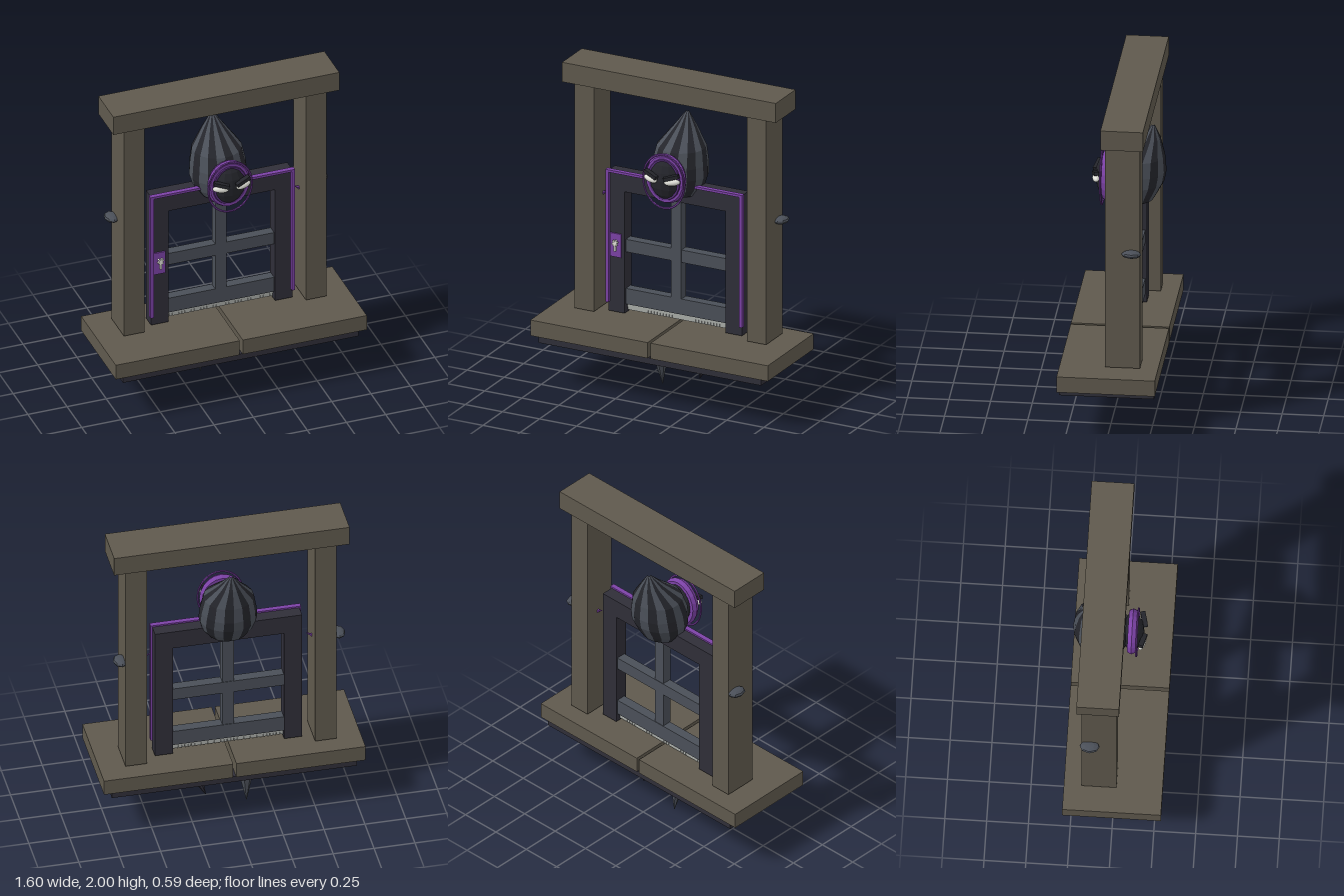
import * as THREE from 'three';

const mat = (name, color, extra = {}) =>
  Object.assign(new THREE.MeshStandardMaterial({ color, ...extra }), { name });

export function createModel() {
  const root = new THREE.Group();
  root.name = 'gateway';
  const stone = mat('stone', 0x5f594d);
  const dark = mat('darkWood', 0x2f2e38, { flatShading: true });
  const slate = mat('slate', 0x4a4f58, { flatShading: true });
  const black = mat('maskBlack', 0x24252b, { flatShading: true });
  const purple = mat('purple', 0x7c42a6, { flatShading: true });
  const deepPurple = mat('deepPurple', 0x57307a, { flatShading: true });
  const pale = mat('pale', 0xe4e4dc);
  const grey = mat('lightGrey', 0xa9aca8);

  const add = (name, geo, material, x = 0, y = 0, z = 0, parent = root) => {
    const m = new THREE.Mesh(geo, material);
    m.name = name;
    m.position.set(x, y, z);
    parent.add(m);
    return m;
  };
  // Box given by its limits on each axis
  const box = (name, material, x0, x1, y0, y1, z0, z1) =>
    add(name, new THREE.BoxGeometry(x1 - x0, y1 - y0, z1 - z0), material,
      (x0 + x1) / 2, (y0 + y1) / 2, (z0 + z1) / 2);
  // Faceted skin over rings [cx, y, cz, rx, rz], top to bottom, one group per column
  const loft = (rings, sides, materials = 1) => {
    const pos = [];
    const geo = new THREE.BufferGeometry();
    const p = (j, i) => {
      const [cx, y, cz, rx, rz] = rings[j];
      const a = (i / sides) * Math.PI * 2;
      return [cx + rx * Math.sin(a), y, cz + rz * Math.cos(a)];
    };
    for (let i = 0; i < sides; i++) {
      const start = pos.length / 3;
      for (let j = 0; j < rings.length - 1; j++) {
        const a = p(j, i), b = p(j + 1, i), c = p(j + 1, i + 1), d = p(j, i + 1);
        pos.push(...a, ...b, ...c, ...a, ...c, ...d);
      }
      if (materials > 1) geo.addGroup(start, pos.length / 3 - start, i % materials);
    }
    geo.setAttribute('position', new THREE.Float32BufferAttribute(pos, 3));
    geo.computeVertexNormals();
    return geo;
  };

  // Stone base, posts and lintel
  box('underSlab', dark, -0.75, 0.75, 0.28, 0.32, -0.285, 0.285);
  box('lintel', stone, -0.72, 0.72, 1.875, 2, -0.215, 0.04);
  for (const s of [-1, 1]) {
    const side = s < 0 ? 'right' : 'left';
    const span = (a, b) => (s < 0 ? [-b, -a] : [a, b]);
    box(side + 'BaseSlab', stone, ...span(0.01, 0.8), 0.32, 0.42, -0.295, 0.295);
    box(side + 'Post', stone, ...span(0.515, 0.645), 0.43, 1.875, -0.19, 0.02);

    // Door stile with raised edge trim
    box(side + 'Stile', dark, ...span(0.34, 0.45), 0.43, 1.33, -0.125, -0.04);
    box(side + 'Trim', purple, ...span(0.44, 0.46), 0.49, 1.34, -0.05, -0.02);

    // Rounded peg outside the post, hooked spur inside
    const peg = add(side + 'Peg', new THREE.SphereGeometry(1, 8, 6), slate, s * 0.665, 1.18, -0.14);
    peg.scale.set(0.045, 0.022, 0.06);
    const spur = add(side + 'Spur', new THREE.ConeGeometry(0.013, 0.055, 5), purple, s * 0.499, 1.164, -0.1);
    spur.rotation.z = s * 1.05;
  }

  // Door rails and glazing bars
  box('topRail', dark, -0.34, 0.34, 1.21, 1.33, -0.125, -0.04);
  box('topTrim', purple, -0.44, 0.44, 1.325, 1.34, -0.05, -0.02);
  box('bottomRail', slate, -0.34, 0.34, 0.485, 0.585, -0.115, -0.055);
  box('middleBar', slate, -0.34, 0.34, 0.82, 0.9, -0.115, -0.055);
  box('uprightBar', slate, -0.035, 0.035, 0.585, 1.21, -0.112, -0.052);

  // Draught brush under the door
  box('brushBar', grey, -0.34, 0.34, 0.462, 0.48, -0.095, -0.075);
  for (let i = 0; i < 34; i++) {
    const x = -0.34 + i * 0.02;
    box('brushTooth', grey, x + 0.001, x + 0.019, 0.442, 0.462, -0.092, -0.078);
  }

  // Lock plate with a small key
  box('lockPlate', purple, -0.435, -0.36, 0.785, 0.935, -0.045, -0.03);
  box('keyShaft', pale, -0.401, -0.391, 0.825, 0.875, -0.03, -0.015);
  for (const r of [0.4, 1.2, 2.3]) {
    add('keyHead', new THREE.BoxGeometry(0.042, 0.01, 0.012), pale, -0.395, 0.878, -0.02).rotation.z = r;
  }

  // Pointed hood with alternating ribs
  add('hood', loft([
    [0, 1.74, -0.2, 0.008, 0.008],
    [0, 1.655, -0.175, 0.07, 0.07],
    [0, 1.545, -0.125, 0.152, 0.147],
    [0, 1.45, -0.11, 0.17, 0.17],
    [0, 1.38, -0.103, 0.176, 0.164],
    [0, 1.31, -0.09, 0.158, 0.14],
    [0, 1.265, -0.085, 0.125, 0.12],
    [0, 1.265, -0.085, 0, 0],
  ], 18, 2), [black, slate]);

  // Face: cowl opening, thin halo ring, mask, eyes and brows
  const face = new THREE.Group();
  face.name = 'face';
  face.position.set(0, 1.4, 0);
  root.add(face);
  add('cowlBand', new THREE.TorusGeometry(0.113, 0.022, 6, 20), purple, 0, 0, 0.075, face).scale.set(1, 1.18, 1.3);
  add('cowlLining', new THREE.TorusGeometry(0.098, 0.016, 6, 20), deepPurple, 0, 0, 0.09, face).scale.set(1, 1.2, 1.2);
  add('haloRing', new THREE.TorusGeometry(0.139, 0.006, 6, 32), purple, 0, -0.01, 0.105, face).scale.set(1, 1.23, 1);
  add('mask', new THREE.SphereGeometry(1, 12, 8), black, 0, 0, 0.075, face).scale.set(0.105, 0.135, 0.072);
  for (const s of [-1, 1]) {
    const eye = add('eye', new THREE.SphereGeometry(1, 14, 10), pale, s * 0.073, 0.007, 0.138, face);
    eye.scale.set(0.05, 0.021, 0.02);
    eye.rotation.set(0, s * 0.25, s * 0.12);
    const brow = add('brow', new THREE.BoxGeometry(0.095, 0.022, 0.03), black, s * 0.068, 0.037, 0.14, face);
    brow.rotation.set(0, s * 0.25, s * 0.3);
  }

  // Hanging fangs: [x, bend x, bend y, tip x, tip y, material]
  const fangs = [
    [-0.397, -0.385, 0.22, -0.44, 0.15, dark],
    [-0.122, -0.116, 0.15, -0.115, 0, slate],
    [0.172, 0.187, 0.195, 0.135, 0.08, dark],
    [0.427, 0.438, 0.21, 0.44, 0.15, slate],
  ];
  for (const [x, bx, by, tx, ty, material] of fangs) {
    add('fang', loft([
      [x, 0.285, -0.07, 0.053, 0.055],
      [bx, by, -0.08, 0.037, 0.035],
      [tx, ty, -0.1, 0.002, 0.002],
    ], 7), material);
  }
  return root;
}
